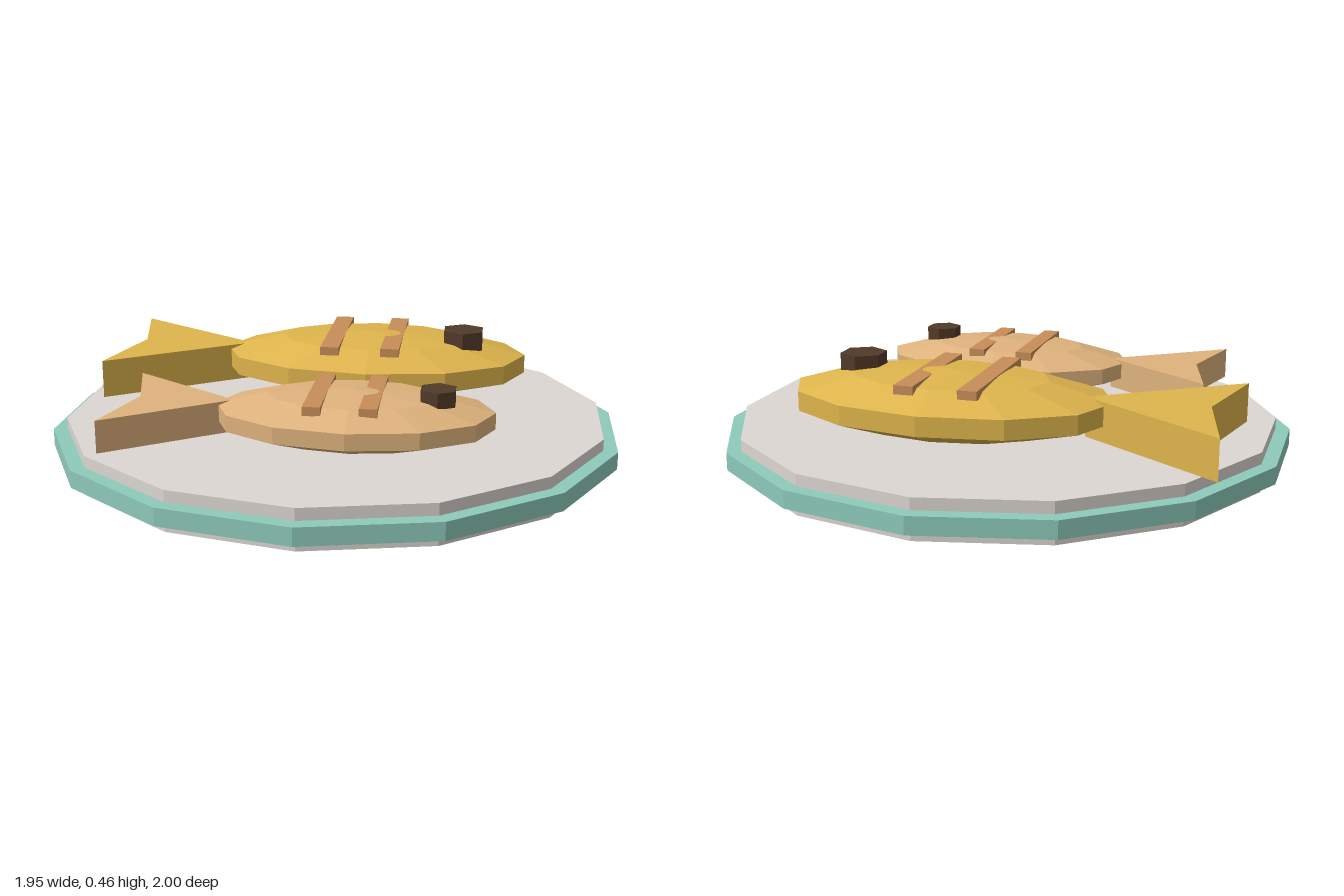
import * as THREE from 'three';

const mat = (name, color) => {
  const m = new THREE.MeshStandardMaterial({ color, flatShading: true });
  m.name = name;
  return m;
};

export function createModel() {
  const ceramic = mat('ceramic', 0xdcd7d1);
  const teal = mat('tealGlaze', 0x8ecabb);
  const gold = mat('goldFish', 0xdeb44c);
  const tan = mat('tanFish', 0xdeb27c);
  const sear = mat('searMarks', 0xc88e58);
  const dark = mat('eyeBrown', 0x523a28);

  const add = (parent, name, geometry, material, x = 0, y = 0, z = 0) => {
    const mesh = new THREE.Mesh(geometry, material);
    mesh.name = name;
    mesh.position.set(x, y, z);
    parent.add(mesh);
    return mesh;
  };

  // Upright prism between two heights
  const disc = (r, y0, y1, sides) =>
    new THREE.CylinderGeometry(r, r, y1 - y0, sides).translate(0, (y0 + y1) / 2, 0);

  // Fish lying on its side, head towards +x
  function fish(name, material, p) {
    const g = new THREE.Group();
    g.name = name;
    g.position.set(0.105, 0, p.z);

    // Faceted flattened body
    add(g, 'body', new THREE.SphereGeometry(1, 12, 5).scale(...p.radii), material, 0, p.y, 0);

    // Notched tail fin
    const [tip, notch, end, half] = p.tail;
    const shape = new THREE.Shape([[tip, 0], [end, half], [notch, 0], [end, -half]]
      .map(([x, y]) => new THREE.Vector2(x, y)));
    const tail = new THREE.ExtrudeGeometry(shape, { depth: p.tailTop - 0.235, bevelEnabled: false });
    add(g, 'tail', tail.rotateX(-Math.PI / 2), material, 0, 0.235, 0);

    // Grill marks across the upper side
    for (const x of p.markX) {
      add(g, 'grillMark', new THREE.BoxGeometry(p.markWidth, 0.03, p.markLength), sear, x, p.markTop - 0.015, 0);
    }

    // Hexagonal eye
    const [ex, ez, er, e0, e1] = p.eye;
    add(g, 'eye', disc(er, e0, e1, 6), dark, ex, 0, ez);
    return g;
  }

  const model = new THREE.Group();
  model.name = 'fishPlatter';

  // Plate
  add(model, 'foot', disc(0.66, 0, 0.075, 12), ceramic);
  add(model, 'plate', disc(0.95, 0.072, 0.208, 14), ceramic);
  add(model, 'rim', disc(1, 0.108, 0.168, 14), teal);

  // Two fish
  model.add(fish('largeFish', gold, {
    z: -0.297, y: 0.322, radii: [0.587, 0.108, 0.355],
    tail: [-0.465, -0.875, -0.95, 0.335], tailTop: 0.37,
    markX: [-0.139, 0.077], markWidth: 0.066, markLength: 0.48, markTop: 0.424,
    eye: [0.332, 0.04, 0.08, 0.388, 0.456],
  }));
  model.add(fish('smallFish', tan, {
    z: 0.36, y: 0.305, radii: [0.485, 0.09, 0.293],
    tail: [-0.4, -0.72, -0.79, 0.28], tailTop: 0.344,
    markX: [-0.115, 0.065], markWidth: 0.058, markLength: 0.392, markTop: 0.39,
    eye: [0.275, 0.032, 0.064, 0.365, 0.418],
  }));
  return model;
}
